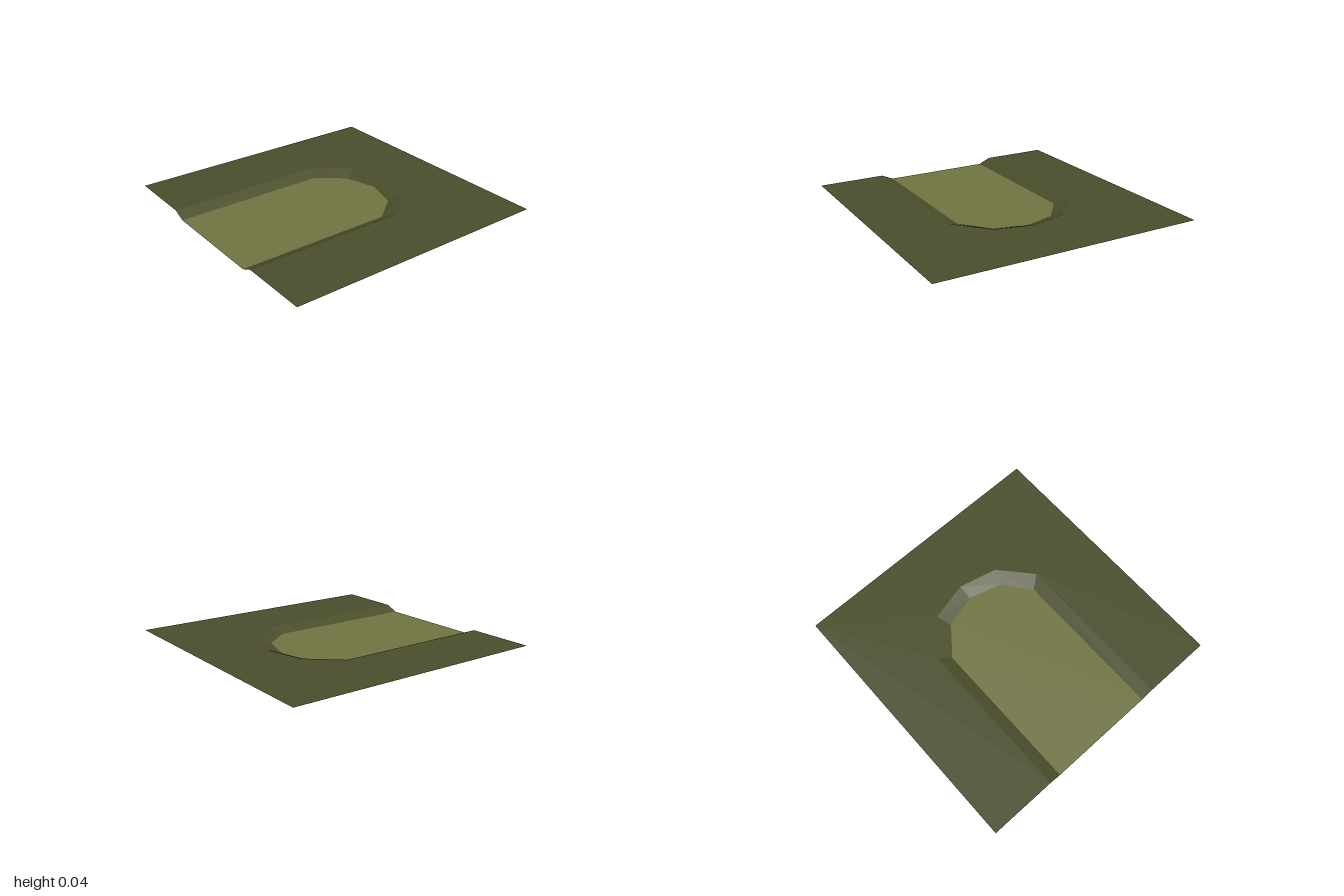
import * as THREE from 'three';

const DEPTH = 0.04;

// Half outlines as [x, z], from the front edge to the middle of the rounded end
const FLOOR_HALF = [[0.405, 1], [0.405, -0.15], [0.245, -0.35], [0, -0.42]];
const RIM_HALF = [[0.495, 1], [0.495, -0.22], [0.285, -0.455], [0, -0.525]];

const mirror = (half) => [...half, ...half.slice(0, -1).reverse().map(([x, z]) => [-x, z])];

// Flat horizontal sheet from an [x, z] outline
function sheet(name, outline, y, material) {
  const shape = new THREE.Shape(outline.map(([x, z]) => new THREE.Vector2(x, -z)));
  const geometry = new THREE.ShapeGeometry(shape).rotateX(-Math.PI / 2).translate(0, y, 0);
  const mesh = new THREE.Mesh(geometry, material);
  mesh.name = name;
  return mesh;
}

// Sloping strip between the floor outline and the rim outline, one flat facet per side
function slope(name, floor, rim, material) {
  const positions = [];
  for (let i = 0; i < floor.length - 1; i++) {
    const [a, b] = [floor[i], floor[i + 1]].map(([x, z]) => [x, 0, z]);
    const [c, d] = [rim[i], rim[i + 1]].map(([x, z]) => [x, DEPTH, z]);
    positions.push(...a, ...c, ...d, ...a, ...d, ...b);
  }
  const geometry = new THREE.BufferGeometry();
  geometry.setAttribute('position', new THREE.Float32BufferAttribute(positions, 3));
  geometry.computeVertexNormals();
  const mesh = new THREE.Mesh(geometry, material);
  mesh.name = name;
  return mesh;
}

export function createModel() {
  const grass = new THREE.MeshStandardMaterial({ color: 0x4a4d2b, side: THREE.DoubleSide });
  grass.name = 'dark grass';
  const path = new THREE.MeshStandardMaterial({ color: 0x6f7341, side: THREE.DoubleSide });
  path.name = 'path';

  const floor = mirror(FLOOR_HALF);
  const rim = mirror(RIM_HALF);

  const model = new THREE.Group();
  model.name = 'pathEndTile';
  model.add(
    // Raised ground wraps around the rim and is open at the front
    sheet('ground', [[1, 1], [1, -1], [-1, -1], [-1, 1], ...[...rim].reverse()], DEPTH, grass),
    slope('bank', floor, rim, grass),
    sheet('pathFloor', floor, 0, path),
  );
  return model;
}
